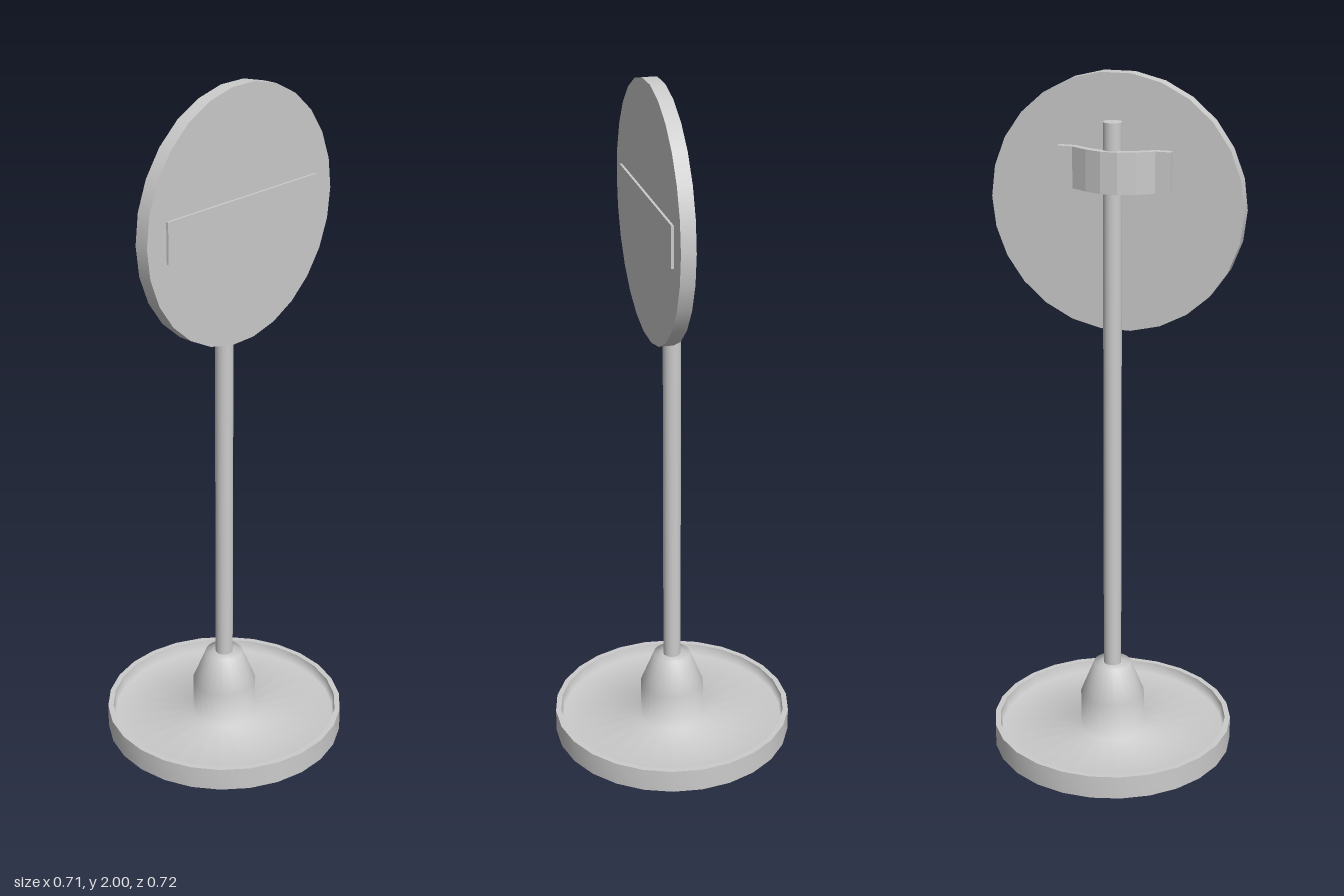
import * as THREE from 'three';
import { toCreasedNormals } from 'three/addons/utils/BufferGeometryUtils.js';

const SIDES = 26;
const v = (x, y) => new THREE.Vector2(x, y);

export function createModel() {
  const model = new THREE.Group();
  const material = new THREE.MeshStandardMaterial({ color: 0xcccccc });
  const add = (name, geometry, x = 0, y = 0, z = 0) => {
    const mesh = new THREE.Mesh(geometry, material);
    mesh.name = name;
    mesh.position.set(x, y, z);
    model.add(mesh);
    return mesh;
  };

  // Base: crisp outer shell with a narrow rim
  const shell = new THREE.LatheGeometry([v(0, 0), v(0.357, 0), v(0.357, 0.07), v(0.341, 0.07)], SIDES);
  add('baseShell', toCreasedNormals(shell, 0.7));

  // Recessed floor flowing smoothly into the tapered hub
  add('baseFloorAndHub', new THREE.LatheGeometry([
    v(0.341, 0.07), v(0.335, 0.035), v(0.095, 0.035),
    v(0.095, 0.15), v(0.055, 0.25), v(0.02, 0.25),
  ], SIDES));

  // Pole
  add('pole', new THREE.CylinderGeometry(0.026, 0.026, 1.635, SIDES), 0, 1.0575, 0);

  // Round sign plate facing +x
  const plate = new THREE.CylinderGeometry(0.36, 0.36, 0.041, SIDES);
  plate.rotateZ(-Math.PI / 2);
  add('signPlate', plate, 0.0495, 1.643, 0);

  // Raised horizontal bar on the plate
  add('signBar', new THREE.BoxGeometry(0.02, 0.115, 0.58), 0.067, 1.642, 0);

  // Bent strap that clamps the plate to the pole: half outline, mirrored
  const outer = [v(0.03, 0.16), v(0.008, 0.16), v(0.008, 0.117), v(-0.02, 0.07), v(-0.037, 0.024)];
  const inner = [v(-0.012, 0.024), v(0.004, 0.07), v(0.03, 0.117)];
  const mirror = (points) => points.map((p) => v(p.x, -p.y)).reverse();
  const outline = new THREE.Shape([...outer, ...mirror(outer), ...mirror(inner).slice(0), ...inner]);
  const strap = new THREE.ExtrudeGeometry(outline, { depth: 0.115, bevelEnabled: false });
  strap.rotateX(-Math.PI / 2);
  add('poleClamp', strap, 0, 1.685, 0);

  return model;
}
